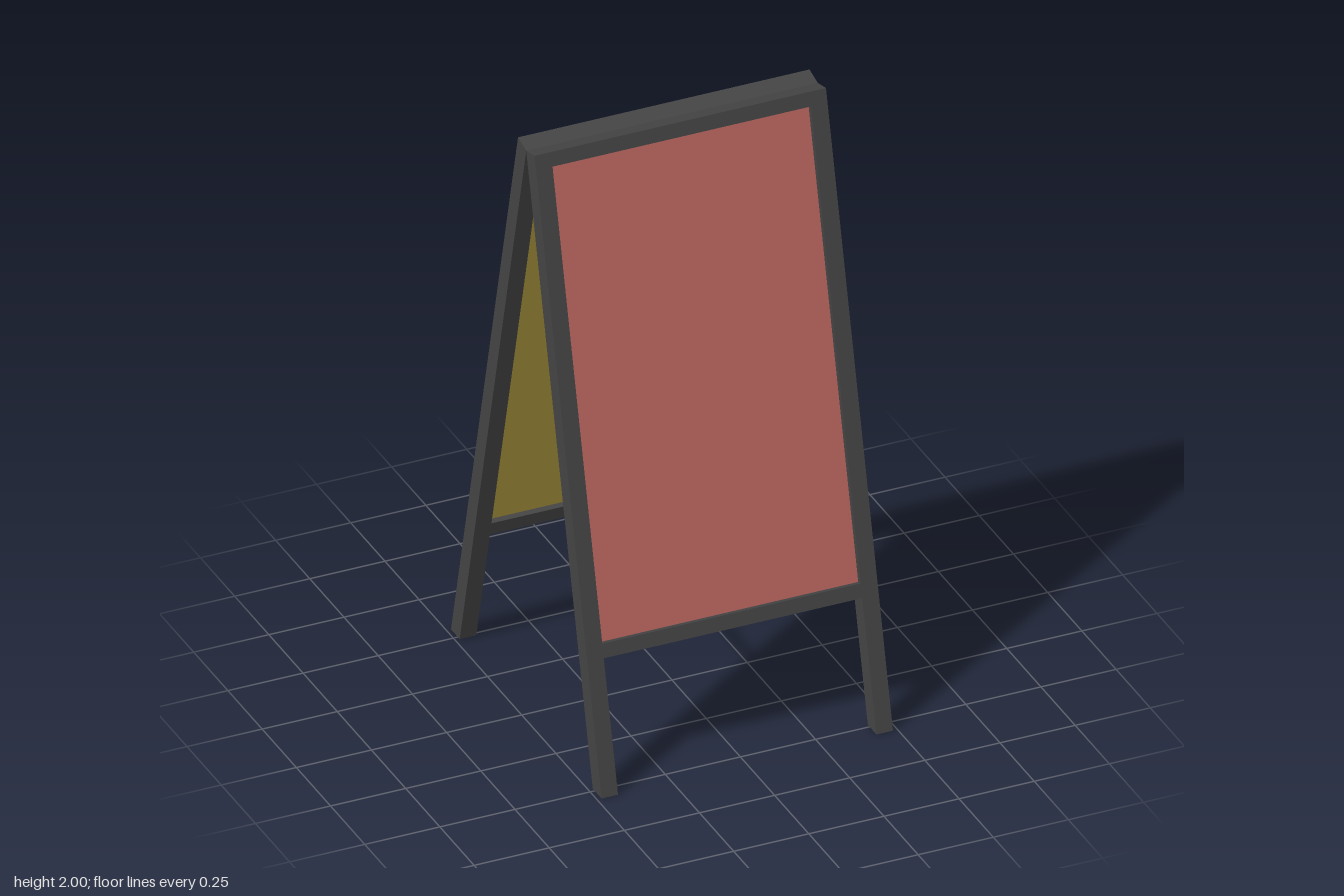
import * as THREE from 'three';

const TILT = Math.atan(0.245);   // lean of each frame
const APEX = 1.985;              // height where the inner faces meet
const DEPTH = 0.062;             // frame thickness
const HALF = 0.485;              // half of the overall width
const STILE = 0.055;             // width of each upright
const RAIL = 0.047;              // height of each rail
const RAIL_TOP = 1.575;          // bottom rail position, measured down the slope
const RECESS = 0.019;            // how far the panel sits behind the frame faces

const material = (color) => new THREE.MeshStandardMaterial({ color, roughness: 0.8, flatShading: true });

export function createModel() {
  const model = new THREE.Group();
  model.name = 'sandwichBoard';
  const frameMat = material(0x444444);
  const outerMat = material(0xbb6660);
  const innerMat = material(0xb09a40);
  const ropeMat = material(0x34439a);

  const sin = Math.sin(TILT), cos = Math.cos(TILT);
  // point in the side plane: t down the slope, d outward from the inner face
  const at = (t, d) => new THREE.Vector2(t * sin + d * cos, APEX - t * cos + d * sin);
  const floorAt = (d) => at((APEX + d * sin) / cos, d);

  // extrudes a (z, y) profile across x
  function slab(name, points, x0, x1, mat) {
    const geo = new THREE.ExtrudeGeometry(new THREE.Shape(points), { depth: x1 - x0, bevelEnabled: false });
    geo.rotateY(-Math.PI / 2);
    geo.translate(x1, 0, 0);
    const mesh = new THREE.Mesh(geo, mat);
    mesh.name = name;
    return mesh;
  }
  const bar = (t0, t1, d0, d1) => [at(t0, d0), at(t1, d0), at(t1, d1), at(t0, d1)];

  function board(name) {
    const g = new THREE.Group();
    g.name = name;
    const inner = HALF - STILE;

    // uprights, cut level at the floor
    const leg = [at(0, 0), floorAt(0), floorAt(DEPTH), at(0, DEPTH)];
    g.add(slab('leftLeg', leg, inner, HALF, frameMat));
    g.add(slab('rightLeg', leg, -HALF, -inner, frameMat));

    // rails
    g.add(slab('topRail', bar(0, RAIL, 0, DEPTH), -inner, inner, frameMat));
    g.add(slab('bottomRail', bar(RAIL_TOP, RAIL_TOP + RAIL, 0, DEPTH), -inner, inner, frameMat));

    // recessed panel: outer writing face and inner backing
    const mid = DEPTH / 2;
    g.add(slab('outerPanel', bar(RAIL, RAIL_TOP, mid, DEPTH - RECESS), -inner, inner, outerMat));
    g.add(slab('innerPanel', bar(RAIL, RAIL_TOP, RECESS, mid), -inner, inner, innerMat));
    return g;
  }

  const back = board('backBoard');
  back.rotation.y = Math.PI;
  model.add(board('frontBoard'), back);

  // sagging rope between the two bottom rails
  const path = new THREE.CatmullRomCurve3(
    [[0.39, 0.438], [0.18, 0.381], [0, 0.367], [-0.18, 0.381], [-0.39, 0.438]]
      .map(([z, y]) => new THREE.Vector3(-0.015, y, z)));
  const rope = new THREE.Mesh(new THREE.TubeGeometry(path, 4, 0.01, 8), ropeMat);
  rope.name = 'rope';
  model.add(rope);

  return model;
}
